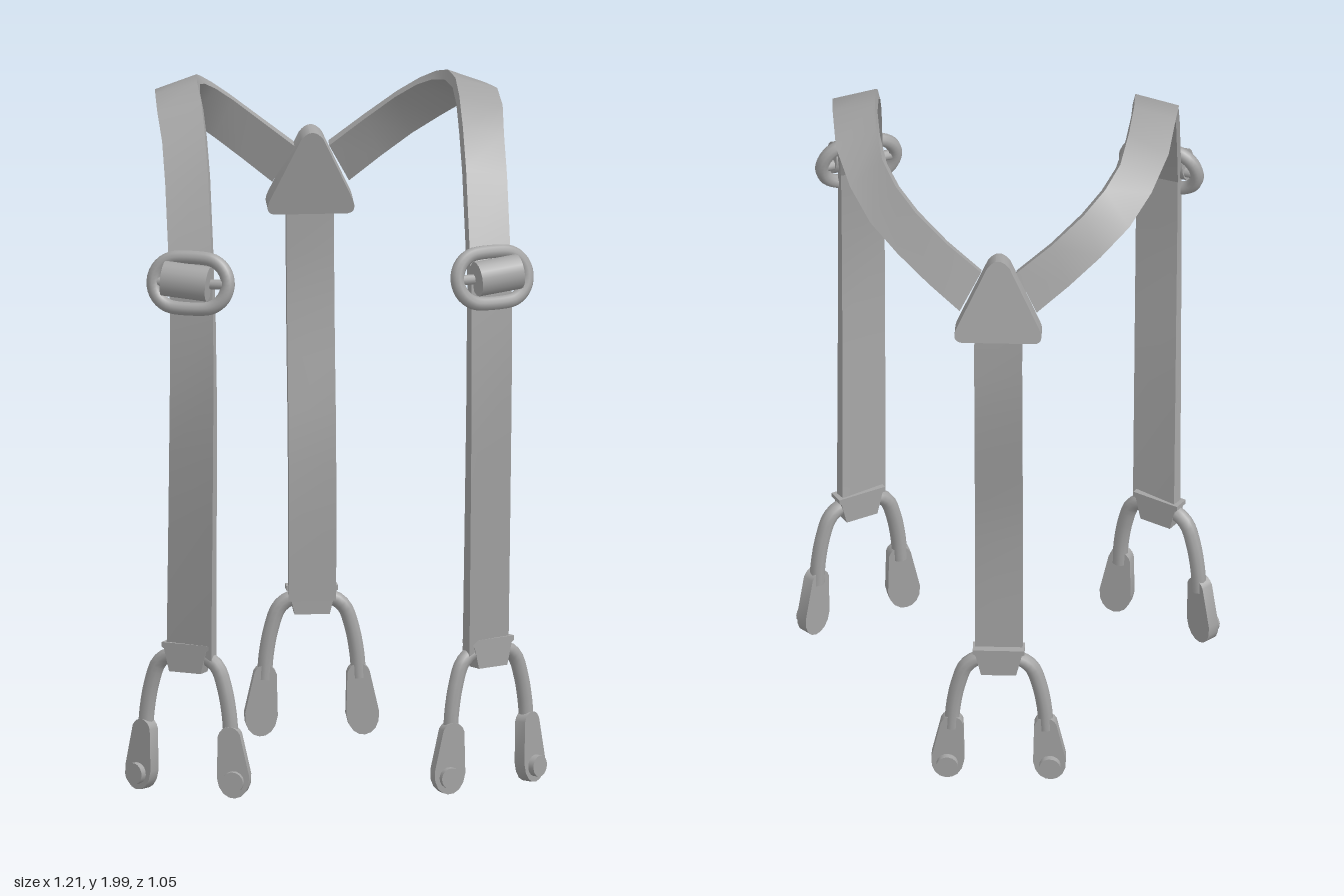
import * as THREE from 'three';
import { toCreasedNormals } from 'three/addons/utils/BufferGeometryUtils.js';

const gray = new THREE.MeshStandardMaterial({ color: 0xa4a4a4 });
gray.name = 'plain gray';

function add(parent, name, geometry, x = 0, y = 0, z = 0) {
  const mesh = new THREE.Mesh(geometry, gray);
  mesh.name = name;
  mesh.position.set(x, y, z);
  parent.add(mesh);
  return mesh;
}

// Flat band between two edge paths; rows are [ax, ay, az, bx, by, bz] on the outer face
function strap(rows, side = 1, thick = 0.03) {
  const edges = rows.map(r => {
    const a = new THREE.Vector3(r[0] * side, r[1], r[2]);
    const b = new THREE.Vector3(r[3] * side, r[4], r[5]);
    return side > 0 ? [a, b] : [b, a];
  });
  const mids = edges.map(([a, b]) => a.clone().add(b).multiplyScalar(0.5));
  const pos = [], idx = [], last = rows.length - 1;
  edges.forEach(([a, b], i) => {
    const along = mids[Math.min(i + 1, last)].clone().sub(mids[Math.max(i - 1, 0)]);
    const inward = b.clone().sub(a).cross(along).normalize().multiplyScalar(-thick);
    for (const p of [a, b, b.clone().add(inward), a.clone().add(inward)]) pos.push(p.x, p.y, p.z);
    if (i === last) return;
    for (let k = 0; k < 4; k++) {
      const p = 4 * i + k, q = 4 * i + (k + 1) % 4;
      idx.push(p, q, q + 4, p, q + 4, p + 4);
    }
  });
  const e = 4 * last;
  idx.push(0, 3, 2, 0, 2, 1, e, e + 1, e + 2, e, e + 2, e + 3);
  const g = new THREE.BufferGeometry();
  g.setAttribute('position', new THREE.Float32BufferAttribute(pos, 3));
  g.setIndex(idx);
  return toCreasedNormals(g, 0.6);
}

function plate(shape, depth, z = 0) {
  const g = new THREE.ExtrudeGeometry(shape, { depth, bevelEnabled: false, curveSegments: 8 });
  return toCreasedNormals(g.translate(0, 0, z), 0.6);
}

// Clasp with two arms ending in button paddles; fan turns the paddles apart
function clip(fan) {
  const group = new THREE.Group();
  const clasp = new THREE.Shape([[-0.05, 0.36], [0.05, 0.36], [0.066, 0.425], [0.074, 0.43],
    [0.074, 0.443], [-0.074, 0.443], [-0.074, 0.43], [-0.066, 0.425]].map(p => new THREE.Vector2(...p)));
  add(group, 'clasp', plate(clasp, 0.046, -0.023));
  const pad = new THREE.Shape();
  pad.moveTo(-0.032, 0.19);
  pad.lineTo(-0.047, 0.07);
  pad.bezierCurveTo(-0.047, -0.015, 0.047, -0.015, 0.047, 0.07);
  pad.lineTo(0.032, 0.19);
  pad.bezierCurveTo(0.02, 0.222, -0.02, 0.222, -0.032, 0.19);
  for (const s of [-1, 1]) {
    const path = new THREE.CatmullRomCurve3([[0.02, 0.4], [0.055, 0.405], [0.092, 0.38],
      [0.115, 0.32], [0.13, 0.24], [0.135, 0.17]].map(p => new THREE.Vector3(p[0] * s, p[1], 0)));
    add(group, 'clipArm', new THREE.TubeGeometry(path, 16, 0.022, 10));
    const paddle = new THREE.Group();
    paddle.name = 'paddle';
    paddle.position.set(0.152 * s, 0, 0);
    paddle.rotation.set(0, s * fan, s * 0.1);
    add(paddle, 'paddlePlate', plate(pad, 0.036, -0.018));
    add(paddle, 'button', new THREE.CylinderGeometry(0.031, 0.031, 0.022, 16).rotateX(Math.PI / 2), 0, 0.055, 0.026);
    group.add(paddle);
  }
  return group;
}

// Oval ring with a cross bar and the folded strap end
function buckle(side) {
  const group = new THREE.Group();
  const pts = [];
  for (let i = 0; i < 20; i++) {
    const a = (i + 0.5) / 20 * Math.PI * 2;
    pts.push(new THREE.Vector3(Math.cos(a) * 0.072 + Math.sign(Math.cos(a)) * 0.038, Math.sin(a) * 0.072, 0));
  }
  add(group, 'buckleRing', new THREE.TubeGeometry(new THREE.CatmullRomCurve3(pts, true), 48, 0.02, 10, true));
  add(group, 'buckleBar', new THREE.CylinderGeometry(0.015, 0.015, 0.2, 10).rotateZ(Math.PI / 2));
  const fold = new THREE.CylinderGeometry(0.05, 0.05, 0.135, 16).rotateZ(Math.PI / 2).scale(1, 1, 0.8);
  add(group, 'foldedStrap', fold, side * 0.008, 0.005, 0.02).rotation.z = side * 0.08;
  return group;
}

export function createModel() {
  const model = new THREE.Group();
  model.name = 'suspenders';

  const lower = [
    [0.37, 0.4, 0.422, 0.49, 0.4, 0.337], [0.37, 0.8, 0.458, 0.49, 0.8, 0.39],
    [0.37, 1.0, 0.475, 0.49, 1.0, 0.414], [0.37, 1.2, 0.488, 0.49, 1.2, 0.435],
    [0.37, 1.4, 0.478, 0.49, 1.4, 0.435], [0.372, 1.51, 0.47, 0.49, 1.51, 0.43],
  ];
  const shoulder = [
    [0.372, 1.5, 0.465, 0.49, 1.5, 0.425], [0.37, 1.58, 0.43, 0.49, 1.57, 0.395],
    [0.37, 1.8, 0.32, 0.49, 1.77, 0.295], [0.37, 1.9, 0.225, 0.49, 1.87, 0.205],
    [0.37, 1.97, 0.12, 0.495, 1.94, 0.11], [0.37, 2.0, 0, 0.49, 1.967, 0],
    [0.36, 1.997, -0.13, 0.475, 1.95, -0.16], [0.34, 1.97, -0.25, 0.43, 1.895, -0.28],
    [0.3, 1.935, -0.33, 0.37, 1.835, -0.37], [0.24, 1.885, -0.39, 0.29, 1.77, -0.43],
    [0.15, 1.81, -0.435, 0.2, 1.695, -0.47], [0.05, 1.73, -0.46, 0.11, 1.62, -0.495],
  ];
  for (const s of [1, -1]) {
    const label = s > 0 ? 'left' : 'right';
    add(model, label + 'FrontStrap', strap(lower, s));
    add(model, label + 'ShoulderStrap', strap(shoulder, s));
    const ring = buckle(s);
    ring.name = label + 'Buckle';
    ring.position.set(s * 0.432, 1.508, 0.452);
    ring.rotation.set(-0.2, s * 0.36, 0, 'YXZ');
    model.add(ring);
    const frontClip = clip(0.26);
    frontClip.name = label + 'FrontClip';
    frontClip.position.set(s * 0.43, 0, 0.362);
    frontClip.rotation.y = s * 0.54;
    model.add(frontClip);
  }

  // Back strap, given as [height, depth]
  const back = [[0.4, -0.442], [0.6, -0.438], [0.8, -0.44], [0.95, -0.453], [1.1, -0.475],
    [1.25, -0.493], [1.4, -0.504], [1.6, -0.5]];
  add(model, 'backStrap', strap(back.map(([y, z]) => [0.068, y, z, -0.068, y, z])));
  const backClip = clip(0);
  backClip.name = 'backClip';
  backClip.position.z = -0.44;
  backClip.rotation.y = Math.PI;
  model.add(backClip);

  // Rounded triangular joining patch
  const tri = new THREE.Shape();
  tri.moveTo(-0.105, 0);
  tri.lineTo(0.105, 0);
  tri.quadraticCurveTo(0.135, 0.005, 0.118, 0.045);
  tri.lineTo(0.032, 0.23);
  tri.quadraticCurveTo(0, 0.272, -0.032, 0.23);
  tri.lineTo(-0.118, 0.045);
  tri.quadraticCurveTo(-0.135, 0.005, -0.105, 0);
  add(model, 'backPatch', plate(tri, 0.066), 0, 1.53, -0.522).rotation.x = 0.2;

  return model;
}
